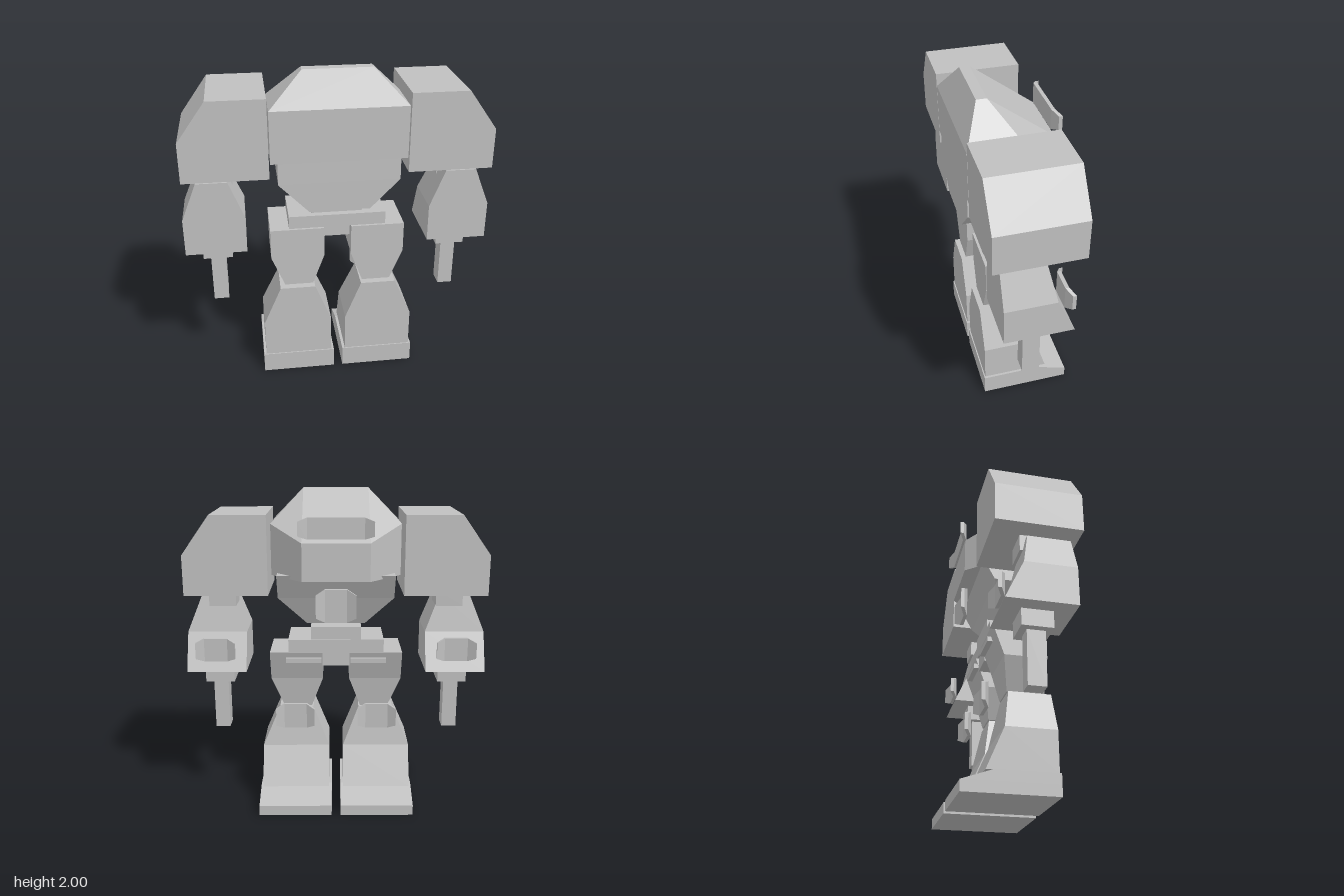
import * as THREE from 'three';
import { ConvexGeometry } from 'three/addons/geometries/ConvexGeometry.js';

const armour = new THREE.MeshStandardMaterial({ color: 0xc0c0c0 });
armour.name = 'grey armour';

// Faceted solid through a series of four-cornered rings, capped at both ends
function loft(rings) {
  const position = [];
  const quad = (a, b, c, d) => [a, b, c, a, c, d].forEach((p) => position.push(...p));
  for (let r = 0; r < rings.length - 1; r++) {
    for (let i = 0; i < 4; i++) {
      const j = (i + 1) % 4;
      quad(rings[r][i], rings[r][j], rings[r + 1][j], rings[r + 1][i]);
    }
  }
  quad(...[...rings[0]].reverse());
  quad(...rings[rings.length - 1]);
  const geometry = new THREE.BufferGeometry();
  geometry.setAttribute('position', new THREE.Float32BufferAttribute(position, 3));
  geometry.computeVertexNormals();
  return geometry;
}

// Stacked rectangles, bottom to top: [y, x0, x1, zBack, zFront]
const stack = (sections) => loft(sections.map(([y, x0, x1, z0, z1]) =>
  [[x0, y, z0], [x1, y, z0], [x1, y, z1], [x0, y, z1]]));

const block = (x0, x1, y0, y1, z0, z1) => stack([[y0, x0, x1, z0, z1], [y1, x0, x1, z0, z1]]);

// Floating guard plate whose shorter ends bend forward
function guardPlate(cx, cy, z, halfWidth, halfFlat, halfHeight) {
  const t = 0.022;
  return loft([-1, -0.5, 0.5, 1].map((k) => {
    const end = Math.abs(k) === 1;
    const x = cx + Math.sign(k) * (end ? halfWidth : halfFlat);
    const h = halfHeight * (end ? 0.68 : 1);
    const zb = end ? z - 0.028 : z;
    return [[x, cy - h, zb], [x, cy - h, zb - t], [x, cy + h, zb - t], [x, cy + h, zb]];
  }));
}

export function createModel() {
  const model = new THREE.Group();
  model.name = 'mech';
  const add = (name, geometry, parent = model) => {
    const mesh = new THREE.Mesh(geometry, armour);
    mesh.name = name;
    parent.add(mesh);
    return mesh;
  };

  // Upper torso with sloped hood and blunt nose
  const hull = [];
  for (const s of [-1, 1]) {
    for (const [x, y, z] of [
      [0.2, 2, 0.2], [0.2, 2, 0.14], [0.395, 1.8, 0.3], [0.395, 1.8, -0.02],
      [0.2, 1.715, -0.245], [0.2, 1.49, -0.245], [0.395, 1.49, -0.02], [0.395, 1.49, 0.3],
    ]) hull.push(new THREE.Vector3(s * x, y, z));
  }
  add('upperTorso', new ConvexGeometry(hull));

  // Belly, waist and hips
  add('lowerTorso', stack([
    [1.18, -0.18, 0.18, 0.3, 0],
    [1.36, -0.355, 0.355, 0.3, -0.085],
    [1.51, -0.355, 0.355, 0.298, -0.165],
  ]));
  add('waist', block(-0.155, 0.155, 1.1, 1.18, 0.16, -0.09));
  add('hipPlate', block(-0.295, 0.295, 1.02, 1.1, 0.2, -0.1));
  add('crotch', block(-0.085, 0.085, 0.93, 1.02, 0.15, -0.09));

  // Centre guards
  add('browGuard', guardPlate(0, 1.8, -0.232, 0.22, 0.165, 0.062));
  add('bellyGuard', guardPlate(0, 1.34, -0.2, 0.12, 0.065, 0.1));

  // Arms and legs, built on the left and mirrored to the right
  for (const side of [1, -1]) {
    const label = side === 1 ? 'left' : 'right';
    const arm = new THREE.Group();
    const leg = new THREE.Group();
    arm.name = label + 'Arm';
    leg.name = label + 'Leg';
    model.add(arm, leg);

    add('shoulder', stack([
      [1.4, 0.402, 0.9, 0.3, -0.21],
      [1.64, 0.402, 0.9, 0.3, -0.21],
      [1.873, 0.402, 0.732, 0.3, -0.21],
    ]), arm);
    add('upperArm', block(0.615, 0.78, 1.3, 1.4, 0.13, -0.04), arm);
    add('forearm', stack([
      [0.91, 0.552, 0.917, 0.245, -0.16],
      [1.14, 0.552, 0.917, 0.245, -0.055],
      [1.37, 0.642, 0.825, 0.245, -0.008],
    ]), arm);
    add('wrist', block(0.643, 0.823, 0.81, 0.91, 0.13, -0.05), arm);
    add('barrel', block(0.688, 0.78, 0.49, 0.81, 0.095, -0.01), arm);
    add('forearmGuard', guardPlate(0.735, 1.05, -0.133, 0.12, 0.07, 0.072), arm);

    add('thigh', stack([
      [0.635, 0.155, 0.33, 0.215, -0.01],
      [0.83, 0.083, 0.41, 0.215, -0.042],
      [1.02, 0.083, 0.41, 0.215, -0.11],
    ]), leg);
    add('thighBar', block(0.09, 0.31, 0.955, 0.985, -0.05, -0.12), leg);
    add('shin', stack([
      [0.13, 0.045, 0.47, 0.245, -0.16],
      [0.375, 0.045, 0.47, 0.245, -0.055],
      [0.625, 0.145, 0.362, 0.245, -0.008],
    ]), leg);
    add('kneeGuard', guardPlate(0.255, 0.61, -0.115, 0.12, 0.07, 0.08), leg);
    add('foot', stack([
      [0, 0.028, 0.485, 0.252, -0.298],
      [0.065, 0.028, 0.485, 0.252, -0.298],
      [0.13, 0.028, 0.485, 0.252, -0.112],
    ]), leg);

    if (side === -1) {
      arm.scale.x = -1;
      leg.scale.x = -1;
    }
  }
  return model;
}
